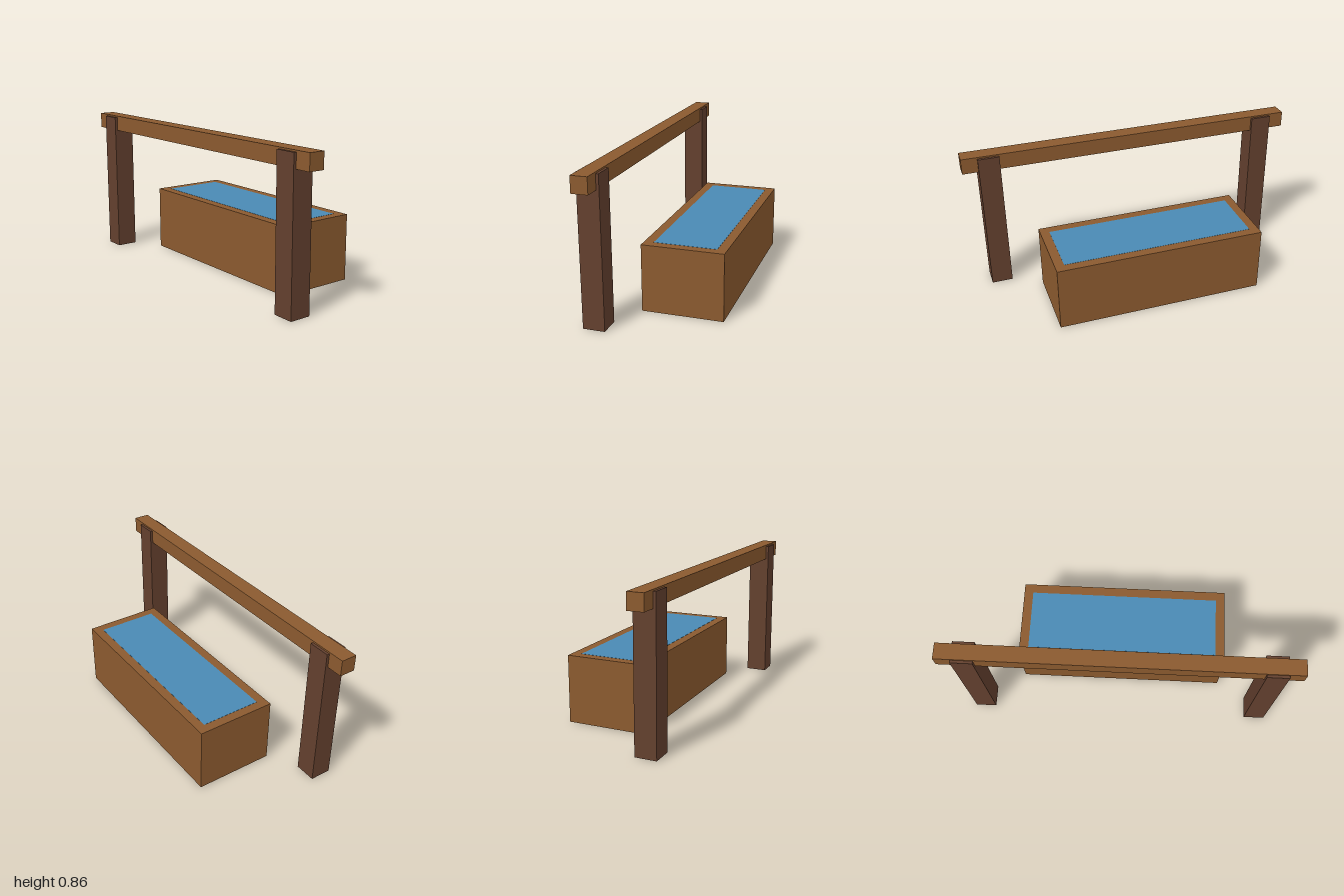
import * as THREE from 'three';

export function createModel() {
  const group = new THREE.Group();
  const material = (color) => new THREE.MeshStandardMaterial({ color, flatShading: true });
  const wood = material(0x8b5a2f);
  const darkWood = material(0x63402e);
  const waterBlue = material(0x4a8ab4);

  // Box given by its size and the centre of its base
  function box(name, [w, h, d], [x, y, z], mat) {
    const mesh = new THREE.Mesh(new THREE.BoxGeometry(w, h, d), mat);
    mesh.name = name;
    mesh.position.set(x, y + h / 2, z);
    group.add(mesh);
  }

  // Trough filled to the brim; the water sits a hair above the rim
  box('trough', [1.23, 0.385, 0.462], [0, 0, -0.107], wood);
  box('water', [1.123, 0.021, 0.354], [0, 0.365, -0.107], waterBlue);

  // Hitching rail on two posts
  for (const side of [1, -1]) {
    box(side > 0 ? 'leftPost' : 'rightPost', [0.123, 0.846, 0.123], [side * 0.846, 0, 0.278], darkWood);
  }
  box('rail', [2, 0.092, 0.092], [0, 0.763, 0.278], wood);

  return group;
}
